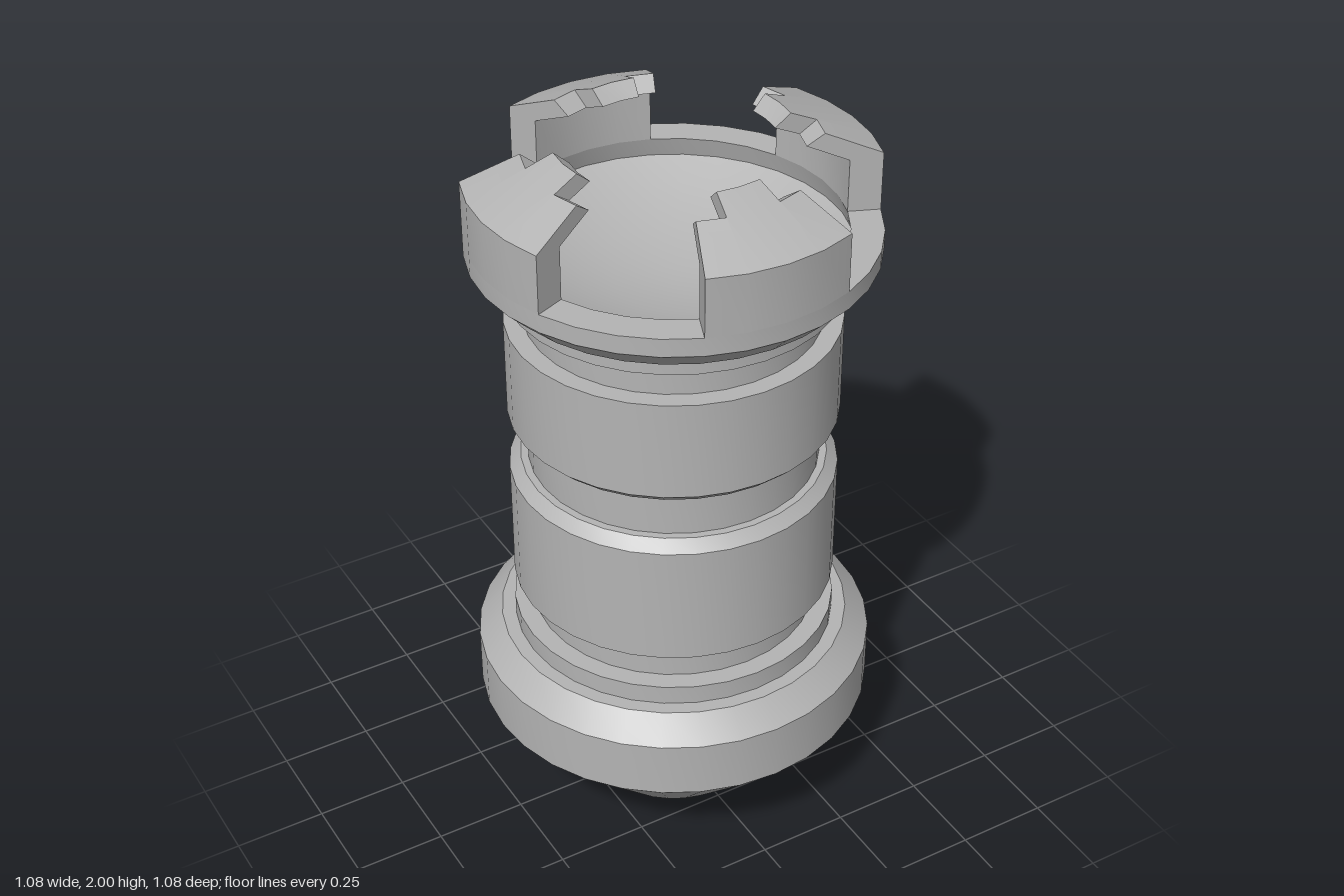
import * as THREE from 'three';
import { mergeGeometries, toCreasedNormals } from 'three/addons/utils/BufferGeometryUtils.js';

const SIDES = 32;
const STEP = (Math.PI * 2) / SIDES;
const CREASE = 0.4;
const toPoints = (list) => list.map(([r, y]) => new THREE.Vector2(r, y));

// Closed profile swept through a few steps around the axis, with both ends capped
function sector(profile, firstStep, steps) {
  const points = toPoints(profile);
  const start = firstStep * STEP;
  const sweep = new THREE.LatheGeometry([...points, points[0]], steps, start, steps * STEP);
  const cap = (angle, flip) => {
    const geo = new THREE.ShapeGeometry(new THREE.Shape(points));
    if (flip) geo.index.array.reverse();
    return geo.rotateY(angle - Math.PI / 2);
  };
  return mergeGeometries([sweep, cap(start, false), cap(start + steps * STEP, true)]);
}

// Battlement section: upright wall with a sloping roof that reaches in to the given radius
function battlementProfile(tipTop, tipBottom) {
  const roof = (r) => 1.905 + (0.525 - r) * 0.432;
  const under = (r) => roof(r) - 0.052;
  return [
    [0.44, 1.745], [0.525, 1.745], [0.525, 1.905],
    [tipTop, roof(tipTop)], [tipBottom, under(tipBottom)], [0.44, under(0.44)],
  ];
}

export function createModel() {
  const group = new THREE.Group();
  group.name = 'tower';
  const grey = new THREE.MeshStandardMaterial({ color: 0xb4b4b4 });
  grey.name = 'grey';

  const add = (name, geometry) => {
    const mesh = new THREE.Mesh(toCreasedNormals(geometry, CREASE), grey);
    mesh.name = name;
    group.add(mesh);
    return mesh;
  };

  // Body: tapered foot, collar, grooved shaft, flared rim
  const body = [
    [0, 0], [0.23, 0], [0.54, 0.32], [0.54, 0.48], [0.475, 0.545],
    [0.437, 0.545], [0.437, 0.6], [0.385, 0.6], [0.385, 0.7],
    [0.435, 0.7], [0.435, 1.04], [0.405, 1.07], [0.385, 1.07],
    [0.385, 1.195], [0.41, 1.195], [0.435, 1.22], [0.435, 1.495],
    [0.385, 1.495], [0.385, 1.585], [0.435, 1.585], [0.435, 1.635],
    [0.465, 1.635], [0.525, 1.695], [0.525, 1.745], [0.44, 1.745],
    [0.455, 1.69],
  ];
  // Hollow top: shallow rounded bowl
  const bowlRadius = 0.455, bowlDepth = 0.12, rings = 6;
  for (let i = 1; i <= rings; i++) {
    const t = 1 - i / rings;
    body.push([bowlRadius * t, 1.69 - bowlDepth * (1 - t * t)]);
  }
  add('body', new THREE.LatheGeometry(toPoints(body), SIDES));

  // Four battlements, each with a long middle tooth and two shorter sides
  const middle = battlementProfile(0.305, 0.265);
  const side = battlementProfile(0.375, 0.33);
  for (let i = 0; i < 4; i++) {
    const battlement = add('battlement' + (i + 1), mergeGeometries([
      sector(side, -2, 1), sector(middle, -1, 2), sector(side, 1, 1),
    ]));
    battlement.rotation.y = (i * Math.PI) / 2;
  }
  return group;
}
